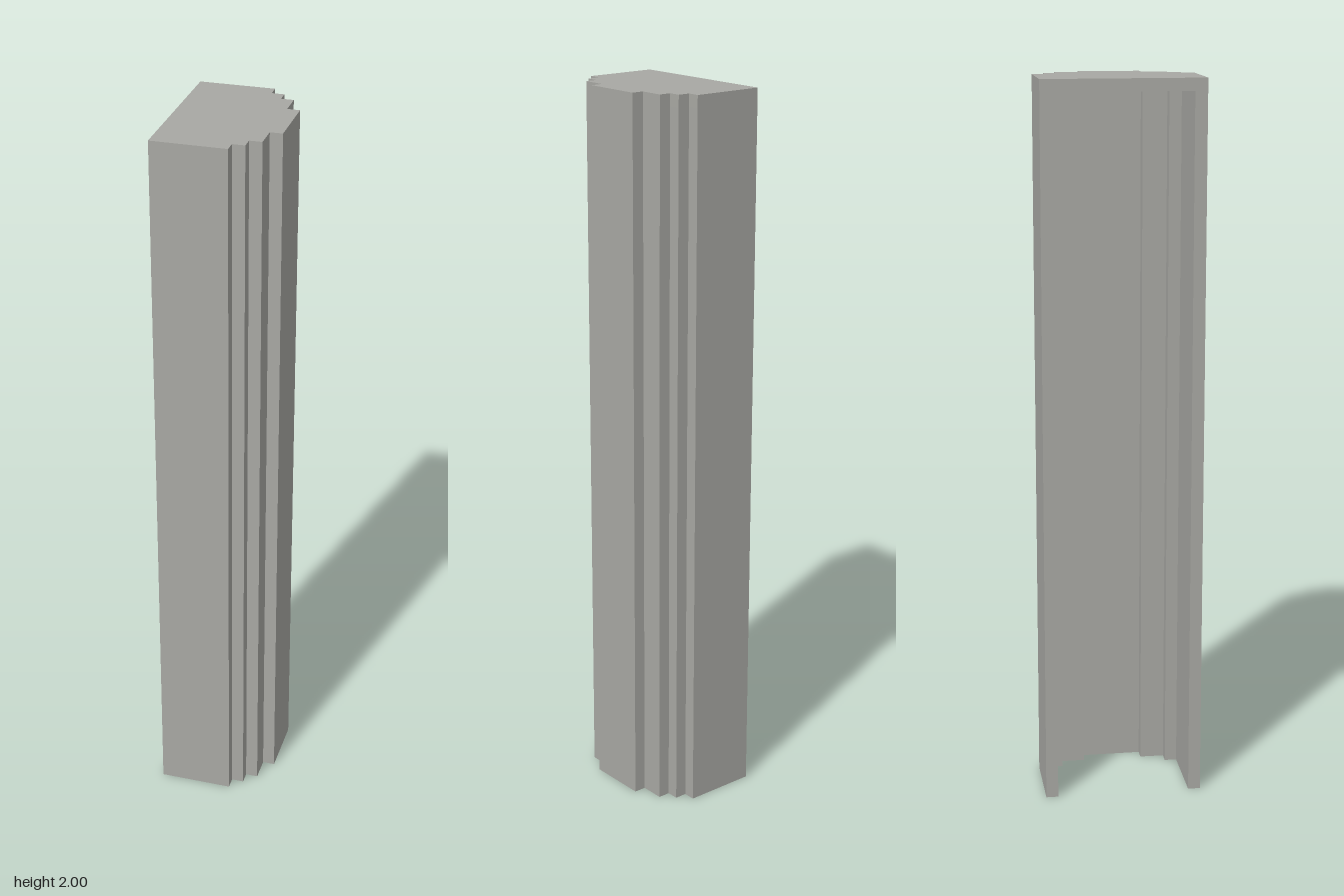
import * as THREE from 'three';

// Stepped half-column shell: open at the bottom and along -x, closed by a lid.
const U = 2 / 59; // wall thickness and step size

export function createModel() {
  const model = new THREE.Group();
  model.name = 'steppedColumnShell';
  const stone = new THREE.MeshStandardMaterial({ color: 0xa8a8a3 });
  stone.name = 'warmGrey';

  // Box given by x and z ranges in steps, standing below the lid
  const wall = (name, x0, x1, z0, z1) => {
    const h = 2 - U;
    const geo = new THREE.BoxGeometry((x1 - x0) * U, h, (z1 - z0) * U);
    const mesh = new THREE.Mesh(geo, stone);
    mesh.position.set(((x0 + x1) / 2) * U, h / 2, ((z0 + z1) / 2) * U);
    mesh.name = name;
    model.add(mesh);
  };

  // Walls stepping inwards on both sides, meeting at the face panel
  const steps = [
    ['sideWall', -4.5, 1.5, 5.5, 6.5],
    ['outerStep', 1.5, 2.5, 4.5, 5.5],
    ['innerStep', 2.5, 3.5, 2.5, 4.5],
  ];
  for (const [name, x0, x1, z0, z1] of steps) {
    wall(name + 'Front', x0, x1, z0, z1);
    wall(name + 'Back', x0, x1, -z1, -z0);
  }
  wall('facePanel', 3.5, 4.5, -2.5, 2.5);

  // Lid following the stepped outline
  const half = [[-4.5, 6.5], [1.5, 6.5], [1.5, 5.5], [2.5, 5.5], [2.5, 4.5], [3.5, 4.5], [3.5, 2.5], [4.5, 2.5]];
  const outline = [...half, ...half.map(([x, z]) => [x, -z]).reverse()];
  const shape = new THREE.Shape(outline.map(([x, z]) => new THREE.Vector2(x * U, z * U)));
  const lidGeo = new THREE.ExtrudeGeometry(shape, { depth: U, bevelEnabled: false });
  lidGeo.rotateX(-Math.PI / 2);
  const lid = new THREE.Mesh(lidGeo, stone);
  lid.position.y = 2 - U;
  lid.name = 'lid';
  model.add(lid);

  return model;
}
